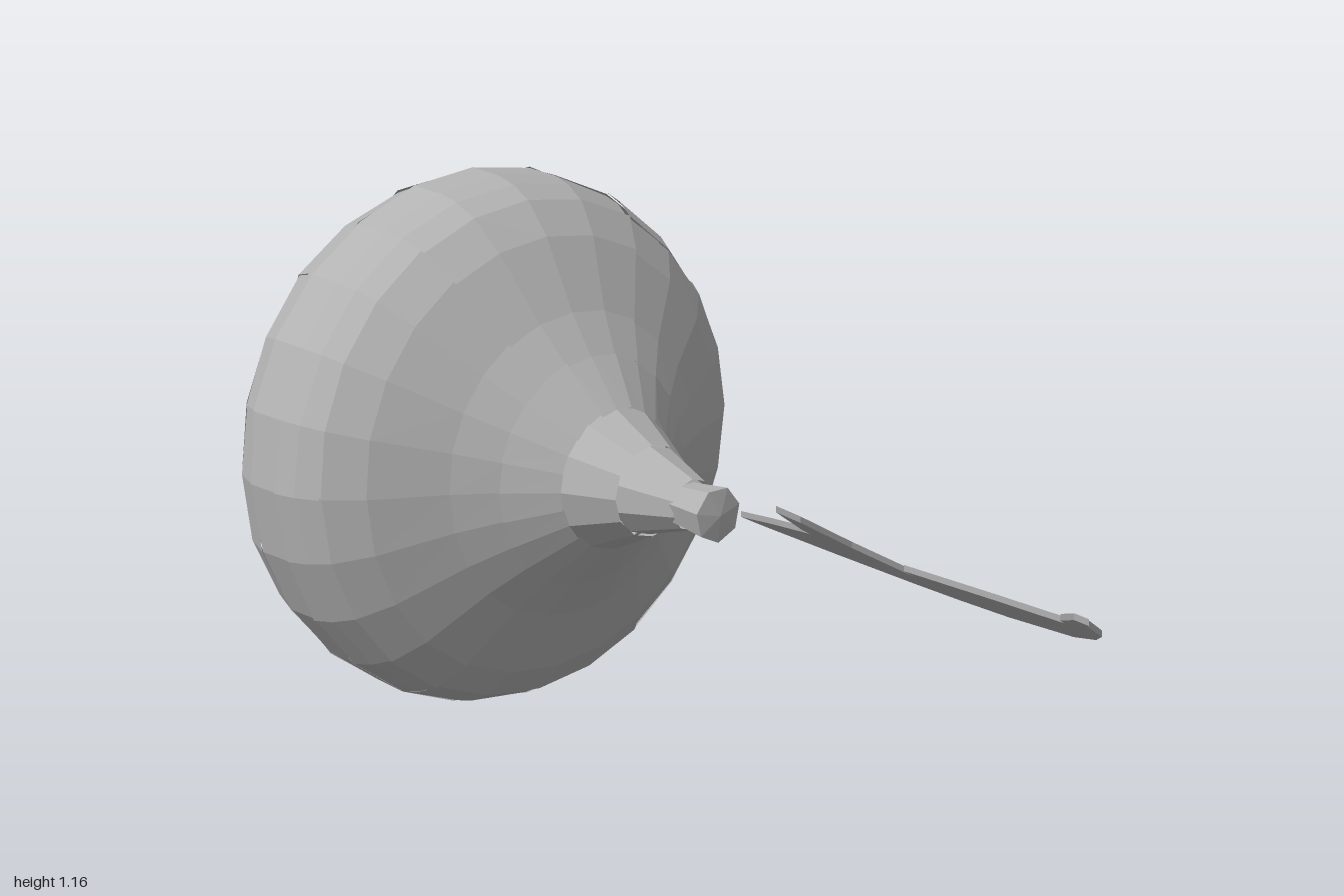
import * as THREE from 'three';

const AXIS_Y = 0.583;
const SEGMENTS = 24;

// small seeded generator for the uneven plates
let seed = 7;
function rand() {
  seed = (seed * 16807) % 2147483647;
  return seed / 2147483647;
}

// turn a profile of [z, radius] pairs around the z axis
function turned(profile, segments, start = 0, length = Math.PI * 2, offset = 0) {
  const points = profile.map(([z, r]) => new THREE.Vector2(Math.max(r + offset, 0), z));
  return new THREE.LatheGeometry(points, segments, start, length).rotateX(Math.PI / 2);
}

export function createModel() {
  seed = 7;
  const group = new THREE.Group();
  const grey = new THREE.MeshStandardMaterial({ color: 0xb2b2b2, flatShading: true, side: THREE.DoubleSide });
  grey.name = 'stone grey';

  function add(parent, geometry, name) {
    const mesh = new THREE.Mesh(geometry, grey);
    mesh.name = name;
    parent.add(mesh);
    return mesh;
  }

  const body = new THREE.Group();
  body.name = 'body';
  body.position.y = AXIS_Y;
  group.add(body);

  // inner shell under the plates
  const outer = [
    [-1, 0.42], [-0.97, 0.492], [-0.94, 0.528], [-0.9, 0.556], [-0.83, 0.578], [-0.74, 0.576],
    [-0.69, 0.563], [-0.64, 0.537], [-0.58, 0.47], [-0.5, 0.325], [-0.44, 0.242], [-0.36, 0.148],
  ];
  add(body, turned(outer, SEGMENTS, 0, Math.PI * 2, -0.012), 'shell');

  // staggered plates: [first ring, last ring, segments per plate, stagger]
  const bands = [[0, 2, 3, 0], [2, 4, 2, 1], [4, 5, 3, 2], [5, 7, 2, 0], [7, 10, 4, 2], [10, 11, 2, 1]];
  const step = (Math.PI * 2) / SEGMENTS;
  for (const [from, to, span, stagger] of bands) {
    const profile = outer.slice(from, to + 1);
    const count = profile.length;
    for (let s = 0; s < SEGMENTS; s += span) {
      const plate = turned(profile, span, (s + stagger) * step, span * step);
      const pos = plate.attributes.position;
      // one end stands proud, the other sinks towards the shell
      const tilt = (rand() - 0.5) * 0.018;
      const lean = (rand() - 0.5) * 0.008;
      for (let i = 0; i < pos.count; i++) {
        const ring = i % count;
        if (from + ring === 0) continue;
        const t = Math.floor(i / count) / span - 0.5;
        const x = pos.getX(i), y = pos.getY(i);
        const k = 1 + (tilt * t + lean * (ring / (count - 1) - 0.5)) / Math.hypot(x, y);
        pos.setXY(i, x * k, y * k);
      }
      add(body, plate, 'plate');
    }
  }

  // shallow rounded hollow in the back with a square floor
  const hollow = turned(
    [[-0.89, 0], [-0.89, 0.2], [-0.945, 0.295], [-0.985, 0.36], [-1, 0.42]], SEGMENTS);
  const hp = hollow.attributes.position;
  for (let i = 0; i < hp.count; i++) {
    const x = hp.getX(i), y = hp.getY(i), r = Math.hypot(x, y);
    if (r > 0.1 && r < 0.25) {
      const k = r / Math.max(Math.abs(x), Math.abs(y));
      hp.setXY(i, x * k, y * k);
    }
  }
  add(body, hollow, 'backHollow');

  // neck and flared stem
  add(body, turned([[-0.37, 0.152], [-0.25, 0.096]], 12), 'neck');
  add(body, turned([[-0.26, 0.094], [-0.125, 0.053]], 10), 'stem');
  const tip = turned([[-0.135, 0.047], [-0.11, 0.049], [-0.04, 0.057], [-0.032, 0]], 7);
  add(body, tip, 'stemTip').position.x = -0.008;

  // slanted hooked blade with a side barb, outlined as [x, z]
  const outline = [
    [0.03, -0.015], [0.06, 0.02], [0.125, 0.16], [0.18, 0.32], [0.2, 0.42], [0.205, 0.54],
    [0.16, 0.74], [0.08, 0.86], [0, 0.94], [-0.09, 0.985], [-0.105, 1], [-0.12, 0.98],
    [-0.04, 0.88], [-0.018, 0.87], [-0.01, 0.7], [0.015, 0.45], [0.055, 0.44],
    [-0.08, 0.41], [-0.21, 0.412], [-0.248, 0.388], [-0.1, 0.3], [-0.08, 0.3], [-0.03, 0.14],
  ];
  const shape = new THREE.Shape(outline.map(([x, z]) => new THREE.Vector2(x, -z)));
  const blade = new THREE.ExtrudeGeometry(shape, { depth: 0.012, bevelEnabled: false });
  blade.rotateX(-Math.PI / 2);
  const bp = blade.attributes.position;
  for (let i = 0; i < bp.count; i++) {
    bp.setY(i, bp.getY(i) + 0.595 - 0.585 * bp.getX(i));
  }
  blade.computeVertexNormals();
  add(group, blade, 'blade');

  return group;
}
